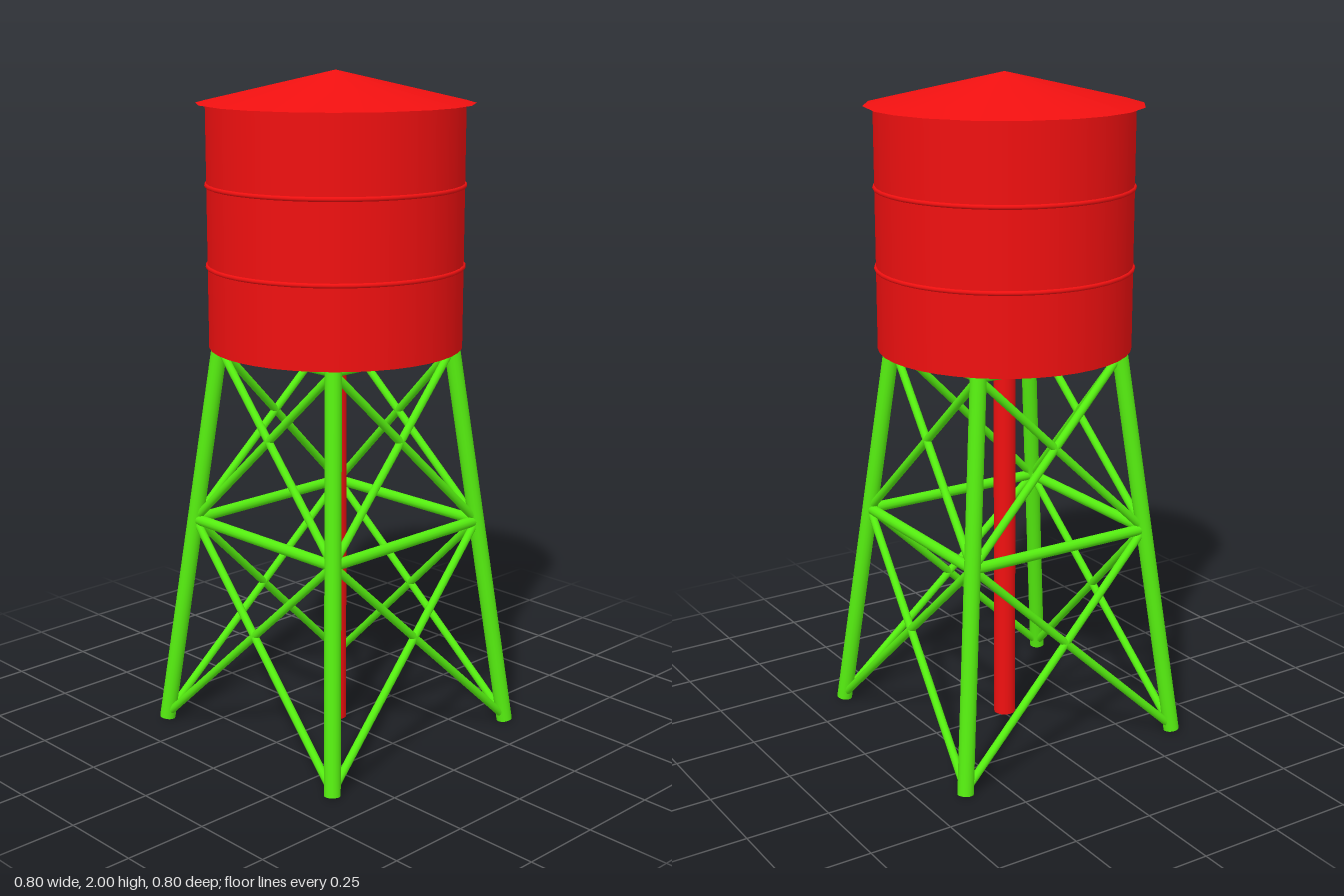
import * as THREE from 'three';

const red = new THREE.MeshStandardMaterial({ color: 0xf01010 });
const green = new THREE.MeshStandardMaterial({ color: 0x55ee10 });

export function createModel() {
  const model = new THREE.Group();
  model.name = 'waterTower';

  const add = (name, geometry, material, parent = model) => {
    const mesh = new THREE.Mesh(geometry, material);
    mesh.name = name;
    parent.add(mesh);
    return mesh;
  };

  // Round bar between two points
  const bar = (name, a, b, radius, parent, sides = 12) => {
    const dir = b.clone().sub(a);
    const mesh = add(name, new THREE.CylinderGeometry(radius, radius, dir.length(), sides), green, parent);
    mesh.position.copy(a).add(b).multiplyScalar(0.5);
    mesh.quaternion.setFromUnitVectors(new THREE.Vector3(0, 1, 0), dir.normalize());
  };

  // Tank body
  add('tank', new THREE.CylinderGeometry(0.375, 0.375, 0.71, 40), red).position.y = 1.555;

  // Hoops round the tank
  for (const y of [1.44, 1.675]) {
    const hoop = add('tankHoop', new THREE.TorusGeometry(0.374, 0.007, 8, 40), red);
    hoop.rotation.x = Math.PI / 2;
    hoop.position.y = y;
  }

  // Shallow roof with slightly uneven eave corners, repeated each quarter turn
  const roof = new THREE.ConeGeometry(0.404, 0.093, 20);
  const corners = [-5, 10, 26, 45, 64];
  const p = roof.attributes.position;
  for (let i = 0; i < p.count; i++) {
    if (Math.hypot(p.getX(i), p.getZ(i)) < 0.01) continue;
    const k = Math.round(Math.atan2(p.getX(i), p.getZ(i)) / (Math.PI / 10) + 20) % 20;
    const a = THREE.MathUtils.degToRad(180 - corners[k % 5] - 90 * Math.floor(k / 5));
    // Mirrored order keeps the faces outward
    p.setX(i, -0.404 * Math.sin(a));
    p.setZ(i, 0.404 * Math.cos(a));
  }
  // Undo the mirroring of the corner angles about x
  for (let i = 0; i < p.count; i++) {
    const x = p.getX(i), z = p.getZ(i);
    p.setXYZ(i, -x, p.getY(i), -z);
  }
  // Settle the winding so that the sloping faces point up
  const idx = roof.index;
  const v = [0, 1, 2].map((j) => new THREE.Vector3().fromBufferAttribute(p, idx.getX(j)));
  const up = v[1].sub(v[0]).cross(v[2].sub(v[0])).y;
  if (up < 0) {
    for (let i = 0; i < idx.count; i += 3) {
      const t = idx.getX(i);
      idx.setX(i, idx.getX(i + 1));
      idx.setX(i + 1, t);
    }
  }
  roof.computeVertexNormals();
  add('roof', roof, red).position.y = 1.9535;

  // Central riser pipe
  add('riserPipe', new THREE.CylinderGeometry(0.033, 0.033, 1.2, 20), red).position.y = 0.61;

  // Leaning legs: offset of the leg axis from the centre at height y
  const spread = (y) => 0.374 - (0.131 * y) / 1.2;
  const corner = (y, sx, sz) => new THREE.Vector3(sx * spread(y), y, sz * spread(y));

  const legs = new THREE.Group();
  legs.name = 'legs';
  model.add(legs);
  for (const sx of [-1, 1]) {
    for (const sz of [-1, 1]) bar('leg', corner(0.003, sx, sz), corner(1.2, sx, sz), 0.024, legs, 16);
  }

  // One braced side of the frame, turned to all four sides
  for (let side = 0; side < 4; side++) {
    const frame = new THREE.Group();
    frame.name = 'sideBracing';
    frame.rotation.y = (side * Math.PI) / 2;
    model.add(frame);
    for (const [low, high] of [[0.013, 0.655], [0.655, 1.19]]) {
      bar('girt', corner(high, -1, 1), corner(high, 1, 1), high > 1 ? 0.012 : 0.016, frame);
      for (const s of [-1, 1]) bar('crossBrace', corner(low, s, 1), corner(high, -s, 1), 0.012, frame);
    }
  }

  return model;
}
